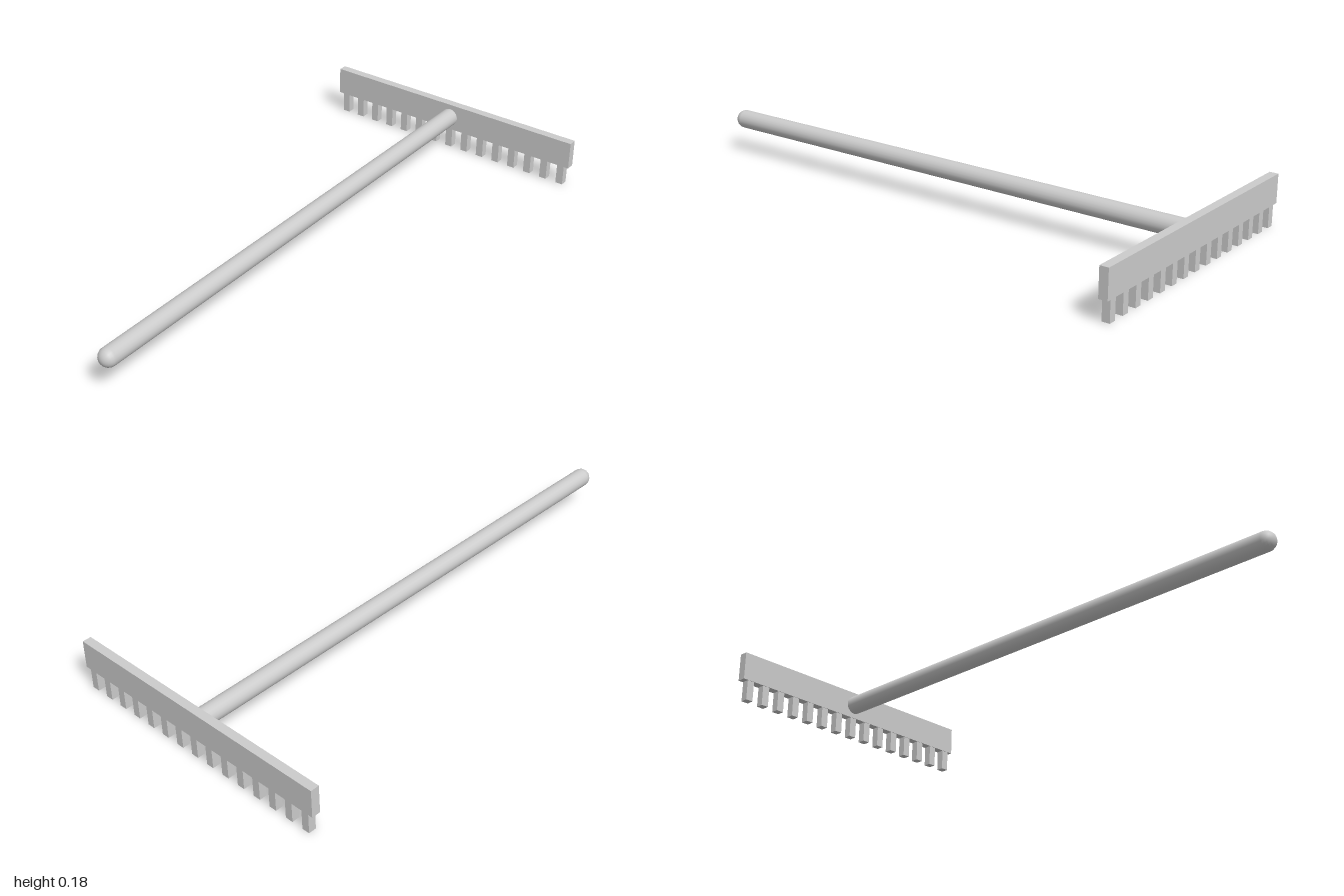
import * as THREE from 'three';

const material = new THREE.MeshStandardMaterial({ color: 0xcccccc });

export function createModel() {
  const rake = new THREE.Group();
  rake.name = 'rake';

  const add = (name, geometry, x, y, z) => {
    const mesh = new THREE.Mesh(geometry, material);
    mesh.name = name;
    mesh.position.set(x, y, z);
    rake.add(mesh);
    return mesh;
  };

  // Head: a flat bar across the back
  const headZ = -0.984;
  add('headBar', new THREE.BoxGeometry(1.046, 0.104, 0.032), 0, 0.128, headZ);

  // Teeth: evenly spaced pegs, tops sunk slightly into the bar
  const count = 15, pitch = 0.07;
  const toothGeometry = new THREE.BoxGeometry(0.028, 0.08, 0.028);
  for (let i = 0; i < count; i++) {
    add('tooth' + (i + 1), toothGeometry, (i - (count - 1) / 2) * pitch, 0.04, headZ);
  }

  // Handle: round pole with domed ends, the rear one seated inside the bar
  const radius = 0.034, front = 1, back = -0.998;
  const handleGeometry = new THREE.CapsuleGeometry(radius, front - back - 2 * radius, 6, 20);
  handleGeometry.rotateX(Math.PI / 2);
  add('handle', handleGeometry, 0, 0.128, (front + back) / 2);

  return rake;
}
